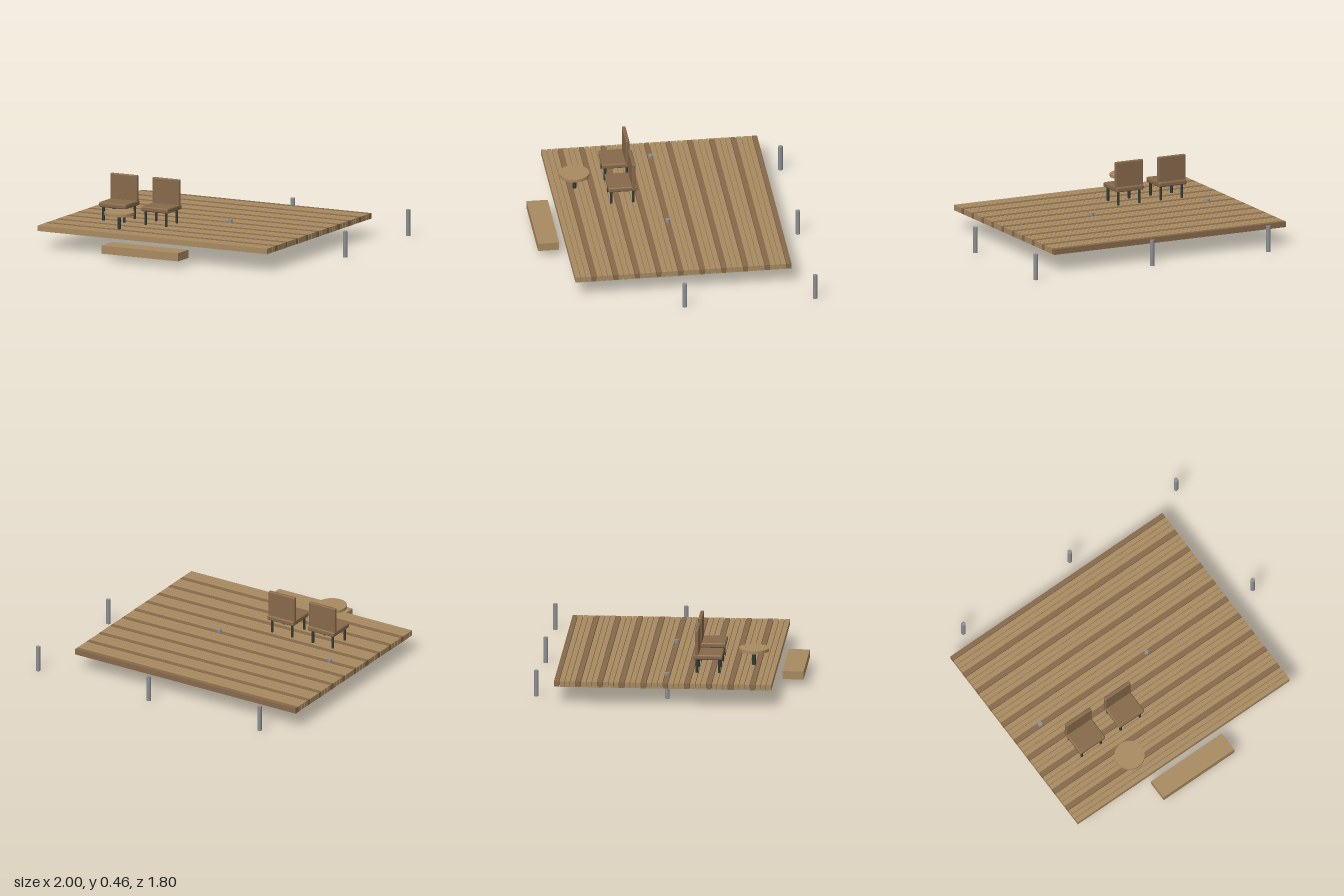
import * as THREE from 'three';
import { RoundedBoxGeometry } from 'three/addons/geometries/RoundedBoxGeometry.js';

const makeMaterial = (name, color) => {
  const m = new THREE.MeshStandardMaterial({ color });
  m.name = name;
  return m;
};

export function createModel() {
  const lightWood = makeMaterial('lightWood', 0xa88a60);
  const darkWood = makeMaterial('darkWood', 0x86694a);
  const darkMetal = makeMaterial('darkMetal', 0x2f3b38);
  const greyMetal = makeMaterial('greyMetal', 0x8c8f92);

  const model = new THREE.Group();
  model.name = 'terrace';

  const add = (parent, name, geometry, material, x, y, z) => {
    const mesh = new THREE.Mesh(geometry, material);
    mesh.name = name;
    mesh.position.set(x, y, z);
    parent.add(mesh);
    return mesh;
  };
  const group = (name, x = 0, y = 0, z = 0) => {
    const g = new THREE.Group();
    g.name = name;
    g.position.set(x, y, z);
    model.add(g);
    return g;
  };

  // Deck: forty narrow boards, every fourth one darker
  const deck = group('deck');
  const board = new THREE.BoxGeometry(1.77, 0.038, 0.0335);
  for (let i = 0; i < 40; i++) {
    add(deck, 'board', board, i % 4 === 0 ? darkWood : lightWood, -0.115, 0.14, -0.74 + i * 0.037);
  }

  // Step in front of the deck
  add(model, 'step', new THREE.BoxGeometry(0.59, 0.056, 0.144), lightWood, -0.115, 0.076, 0.825);

  // Two rows of ground posts
  const posts = group('posts');
  const post = new THREE.CylinderGeometry(0.0155, 0.0155, 0.18, 16);
  for (const z of [-0.89, 0]) {
    for (const x of [-0.795, 0.093, 0.981]) add(posts, 'post', post, greyMetal, x, 0.09, z);
  }

  // Pair of chairs facing the front
  const seat = new RoundedBoxGeometry(0.21, 0.035, 0.2, 3, 0.01);
  const back = new RoundedBoxGeometry(0.21, 0.18, 0.026, 3, 0.008);
  const leg = new THREE.CylinderGeometry(0.009, 0.009, 0.11, 12);
  for (const x of [-0.617, -0.292]) {
    const chair = group('chair', x, 0, 0.267);
    add(chair, 'seat', seat, darkWood, 0, 0.27, 0);
    add(chair, 'backrest', back, darkWood, 0, 0.371, -0.074);
    for (const lx of [-0.08, 0.08]) {
      for (const lz of [-0.073, 0.077]) add(chair, 'chairLeg', leg, darkMetal, lx, 0.205, lz);
    }
  }

  // Round side table on a single leg that passes through the deck
  const table = group('table', -0.455, 0, 0.565);
  add(table, 'tableTop', new THREE.CylinderGeometry(0.102, 0.102, 0.021, 40), lightWood, 0, 0.267, 0);
  add(table, 'tableLeg', new THREE.CylinderGeometry(0.0135, 0.0135, 0.168, 16), darkMetal, 0, 0.176, 0);

  return model;
}
